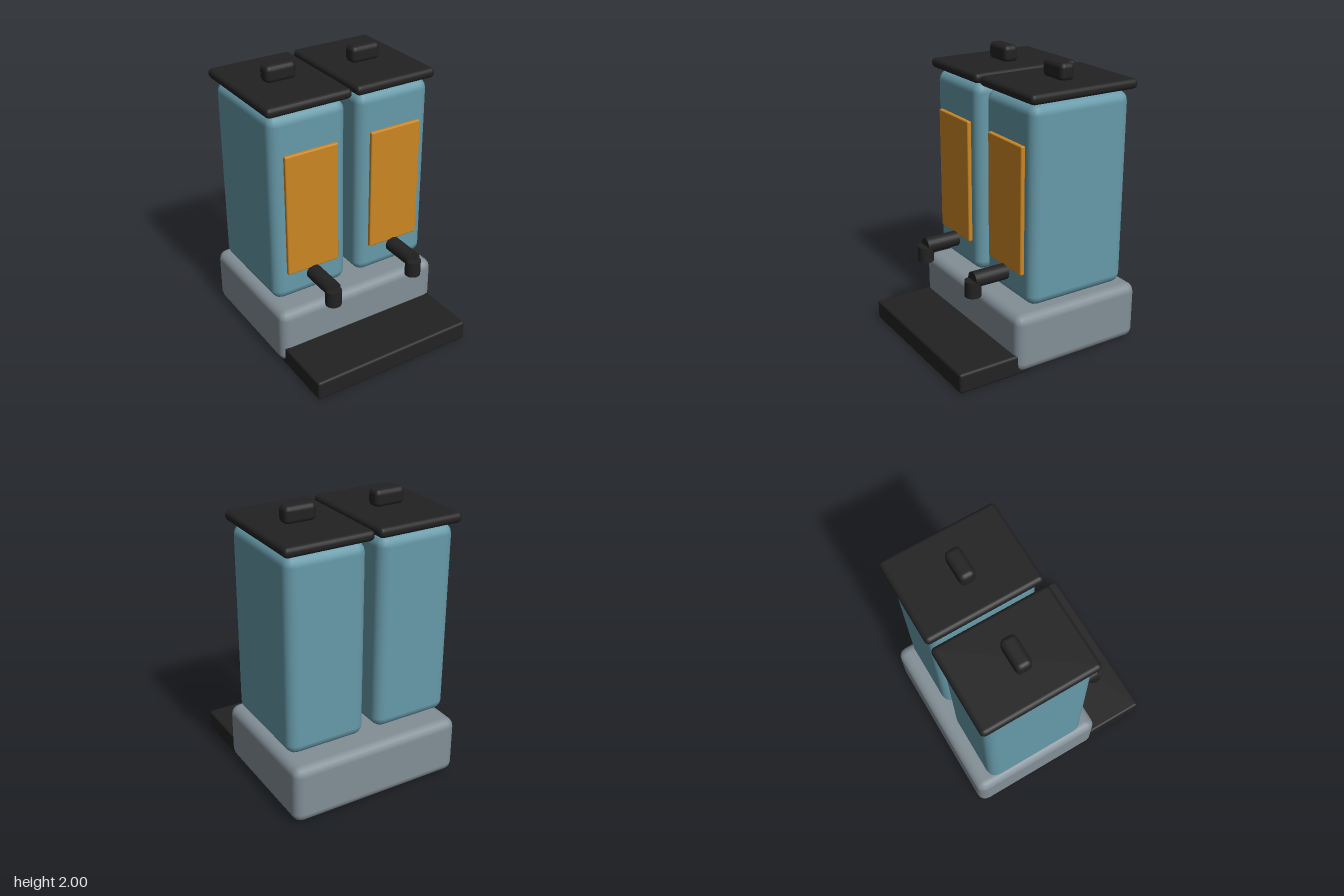
import * as THREE from 'three';
import { RoundedBoxGeometry } from 'three/addons/geometries/RoundedBoxGeometry.js';

const mat = (name, color) => {
  const m = new THREE.MeshStandardMaterial({ color });
  m.name = name;
  return m;
};

export function createModel() {
  const black = mat('black plastic', 0x222222);
  const grey = mat('grey base', 0x828e96);
  const blue = mat('blue tank', 0x6699a8);
  const orange = mat('orange panel', 0xcc8622);

  // bevelled box given by its extents [min, max] on each axis
  const box = (name, material, x, y, z, radius) => {
    const g = new RoundedBoxGeometry(x[1] - x[0], y[1] - y[0], z[1] - z[0], 2, radius);
    const mesh = new THREE.Mesh(g, material);
    mesh.name = name;
    mesh.position.set((x[0] + x[1]) / 2, (y[0] + y[1]) / 2, (z[0] + z[1]) / 2);
    return mesh;
  };

  const cylinder = (name, radius, length, x, y, z) => {
    const mesh = new THREE.Mesh(new THREE.CylinderGeometry(radius, radius, length, 24), black);
    mesh.name = name;
    mesh.position.set(x, y, z);
    return mesh;
  };

  const model = new THREE.Group();
  model.name = 'twinDispenser';

  // base and drip tray
  model.add(box('base', grey, [-0.633, 0.633], [0.01, 0.425], [-0.705, 0.283], 0.065));
  model.add(box('dripTray', black, [-0.61, 0.61], [0, 0.142], [0.17, 0.705], 0.018));

  // two matching dispensers
  for (const side of [-1, 1]) {
    const cx = side * 0.326;
    const span = (half) => [cx - half, cx + half];
    const unit = new THREE.Group();
    unit.name = side > 0 ? 'leftDispenser' : 'rightDispenser';

    unit.add(box('tank', blue, span(0.282), [0.457, 1.812], [-0.59, 0.168], 0.07));
    unit.add(box('frontPanel', orange, span(0.197), [0.668, 1.545], [0.165, 0.197], 0.01));
    unit.add(box('lid', black, span(0.309), [1.822, 1.89], [-0.624, 0.194], 0.03));
    unit.add(box('lidHandle', black, span(0.112), [1.88, 2.0], [-0.27, -0.16], 0.035));

    // tap: horizontal pipe with a downward outlet
    const pipe = cylinder('tapPipe', 0.055, 0.25, cx, 0.627, 0.315);
    pipe.rotation.x = Math.PI / 2;
    unit.add(pipe, cylinder('tapOutlet', 0.055, 0.112, cx, 0.568, 0.438));

    model.add(unit);
  }
  return model;
}
